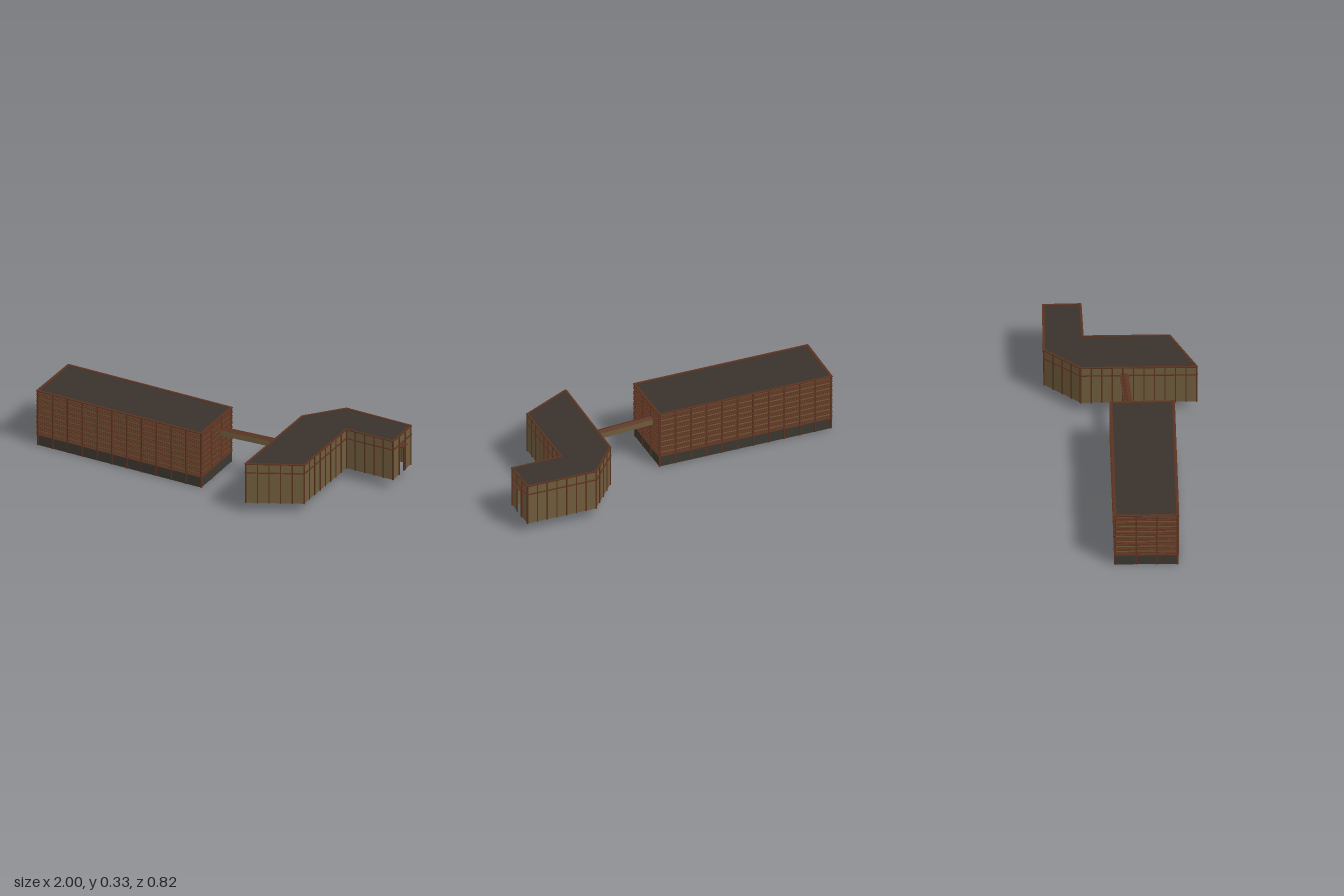
import * as THREE from 'three';

const mat = (name, color, side = THREE.FrontSide) => {
  const m = new THREE.MeshStandardMaterial({ color, side });
  m.name = name;
  return m;
};

export function createModel() {
  const tan = mat('tan cladding', 0x6e5c3c, THREE.DoubleSide);
  const brown = mat('rust brown metal', 0x5a3220);
  const roofMat = mat('dark roof', 0x3a322c);
  const glass = mat('dark glazing', 0x3b3730);
  const model = new THREE.Group();
  model.name = 'linkedBuildings';

  // Footprints as [x, z], walked so that (dz, -dx) points outwards
  const slab = [[-0.963, -0.17], [0.035, -0.097], [0.014, 0.236], [-0.99, 0.163]];
  const wing = [[0.403, -0.228], [0.58, -0.408], [0.978, -0.376], [0.966, -0.176],
    [0.68, -0.192], [0.645, 0.276], [0.355, 0.396]];

  // A group per wall: local x runs along the wall, local -z points outwards
  function eachWall(points, parent, build) {
    points.forEach((p, i) => {
      const q = points[(i + 1) % points.length];
      const dx = q[0] - p[0], dz = q[1] - p[1];
      const wall = new THREE.Group();
      wall.name = 'wall' + (i + 1);
      wall.position.set((p[0] + q[0]) / 2, 0, (p[1] + q[1]) / 2);
      wall.rotation.y = -Math.atan2(dz, dx);
      parent.add(wall);
      build(wall, Math.hypot(dx, dz), i);
    });
  }

  function box(parent, name, material, w, h, d, x, y, z) {
    const m = new THREE.Mesh(new THREE.BoxGeometry(w, h, d), material);
    m.name = name;
    m.position.set(x, y, z);
    parent.add(m);
  }

  // Wall sheet, optionally with a doorway [from, to, top] cut up from its foot
  function sheet(parent, len, y0, y1, door) {
    const s = new THREE.Shape();
    s.moveTo(-len / 2, y0);
    if (door) {
      s.lineTo(door[0], y0);
      s.lineTo(door[0], door[2]);
      s.lineTo(door[1], door[2]);
      s.lineTo(door[1], y0);
    }
    s.lineTo(len / 2, y0);
    s.lineTo(len / 2, y1);
    s.lineTo(-len / 2, y1);
    const m = new THREE.Mesh(new THREE.ShapeGeometry(s), tan);
    m.name = 'wallSheet';
    parent.add(m);
  }

  function fins(parent, len, count, y0, y1, width, depth) {
    for (let k = 0; k <= count; k++)
      box(parent, 'verticalFin', brown, width, y1 - y0, depth,
        (k / count - 0.5) * len, (y0 + y1) / 2, -depth / 2);
  }

  function roof(parent, points, top) {
    const s = new THREE.Shape(points.map(([x, z]) => new THREE.Vector2(x, z)));
    const g = new THREE.ExtrudeGeometry(s, { depth: 0.005, bevelEnabled: false });
    g.rotateX(Math.PI / 2);
    const m = new THREE.Mesh(g, roofMat);
    m.name = 'roof';
    m.position.y = top;
    parent.add(m);
  }

  // Long slab building: glazed ground floor, louvred storeys above
  const slabGroup = new THREE.Group();
  slabGroup.name = 'slabBuilding';
  model.add(slabGroup);
  roof(slabGroup, slab, 0.331);
  eachWall(slab, slabGroup, (wall, len, i) => {
    sheet(wall, len, 0, 0.328);
    box(wall, 'groundFloorGlazing', glass, len + 0.004, 0.06, 0.003, 0, 0.03, -0.0017);
    fins(wall, len, i % 2 ? 3 : 11, 0, 0.33, 0.007, 0.007);
    for (let row = 0; row < 8; row++)
      for (let k = 0; k < 3; k++)
        box(wall, 'louvre', brown, len + 0.018, 0.002, 0.009,
          0, 0.064 + row * 0.0335 + k * 0.009, -0.0045);
    box(wall, 'roofTrim', brown, len + 0.018, 0.005, 0.015, 0, 0.3305, -0.0025);
  });

  // Raised angled wing with slender fins and a doorway at its end
  const wingGroup = new THREE.Group();
  wingGroup.name = 'angledWing';
  model.add(wingGroup);
  roof(wingGroup, wing, 0.298);
  eachWall(wing, wingGroup, (wall, len, i) => {
    const door = i === 2 ? [-0.02, 0.03, 0.23] : null;
    sheet(wall, len, 0.06, 0.296, door);
    fins(wall, len, Math.max(3, Math.round(len / 0.059)), 0.06, 0.298, 0.006, 0.005);
    box(wall, 'stringCourse', brown, len + 0.01, 0.005, 0.007, 0, 0.245, -0.0035);
    box(wall, 'roofTrim', brown, len + 0.01, 0.005, 0.012, 0, 0.2975, -0.001);
    if (door) {
      box(wall, 'doorCanopy', brown, 0.052, 0.004, 0.026, 0.005, 0.23, -0.013);
      for (const x of [door[0], door[1]])
        box(wall, 'doorJamb', brown, 0.003, 0.17, 0.006, x, 0.145, -0.002);
    }
  });

  // Six-sided footbridge: tan sides, brown upper and lower faces
  const R = 0.0235, X0 = 0.02, X1 = 0.39;
  const bridge = new THREE.Group();
  bridge.name = 'footbridge';
  bridge.position.set((X0 + X1) / 2, 0.236, 0.006);
  model.add(bridge);
  const profile = [[0, 1], [0.9, 0.66], [0.9, -0.66], [0, -1], [-0.9, -0.66], [-0.9, 0.66]];
  profile.forEach((a, i) => {
    const b = profile[(i + 1) % 6];
    const dz = (b[0] - a[0]) * R, dy = (b[1] - a[1]) * R;
    const side = i === 1 || i === 4;
    const m = new THREE.Mesh(
      new THREE.BoxGeometry(X1 - X0, 0.002, Math.hypot(dz, dy)), side ? tan : brown);
    m.name = side ? 'bridgeSide' : 'bridgeCover';
    m.position.set(0, (a[1] + b[1]) * R / 2, (a[0] + b[0]) * R / 2);
    m.rotation.x = -Math.atan2(dy, dz);
    bridge.add(m);
  });

  return model;
}
